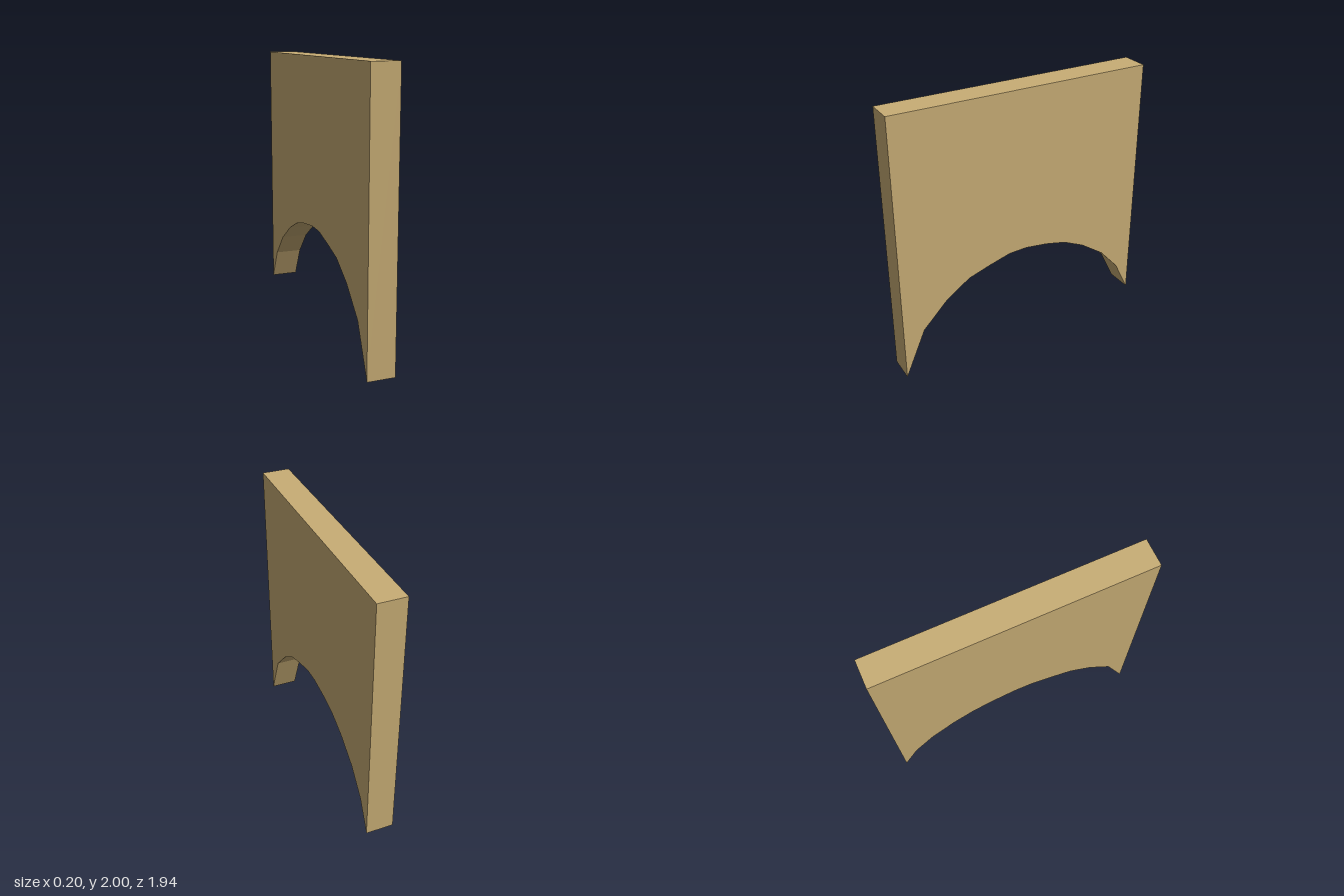
import * as THREE from 'three';

export function createModel() {
  const group = new THREE.Group();
  group.name = 'archPanel';

  const sandstone = new THREE.MeshStandardMaterial({ color: 0xc8ad75, flatShading: true });
  sandstone.name = 'sandstone';

  // Underside of the arch from front to back, as [z, y]
  const arch = [
    [0.97, 0], [0.815, 0.36], [0.63, 0.55], [0.45, 0.675], [0.285, 0.73],
    [0.12, 0.778], [-0.02, 0.785], [-0.19, 0.765], [-0.35, 0.73],
    [-0.515, 0.655], [-0.7, 0.53], [-0.855, 0.36], [-0.97, 0.13],
  ];
  const width = 0.2;
  const outline = [...arch, [-0.97, 2], [0.97, 2]].map(([z, y]) => new THREE.Vector2(z, y));

  // Side outline extruded across the thickness, then turned so its length runs along z
  const geometry = new THREE.ExtrudeGeometry(new THREE.Shape(outline), {
    depth: width, bevelEnabled: false,
  });
  geometry.translate(0, 0, -width / 2);
  geometry.rotateY(-Math.PI / 2);

  const wall = new THREE.Mesh(geometry, sandstone);
  wall.name = 'archedWall';
  group.add(wall);
  return group;
}
